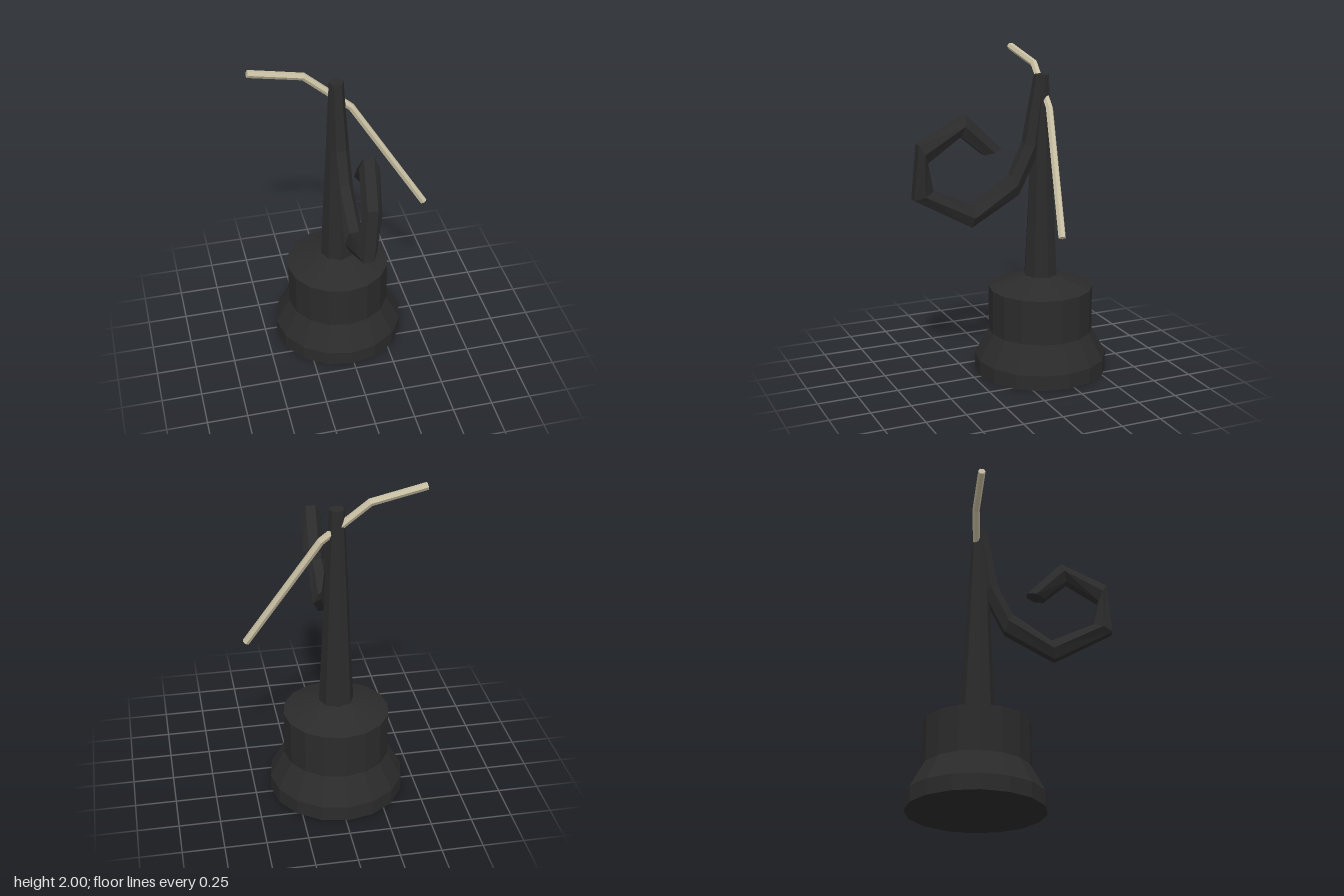
import * as THREE from 'three';

const V = (x, y, z) => new THREE.Vector3(x, y, z);
const dark = new THREE.MeshStandardMaterial({ color: 0x2b2b2b, flatShading: true });
const wood = new THREE.MeshStandardMaterial({ color: 0xc9c0a3, flatShading: true });

// Capped six-sided loft. Each ring is { c: centre, u, v }, with u x v along the path.
function loft(rings, sides = 6) {
  const pos = [], idx = [];
  rings.forEach(({ c, u, v }) => {
    for (let k = 0; k < sides; k++) {
      const a = ((k + 0.5) / sides) * Math.PI * 2;
      const p = c.clone().addScaledVector(u, Math.cos(a)).addScaledVector(v, Math.sin(a));
      pos.push(p.x, p.y, p.z);
    }
  });
  for (let i = 0; i < rings.length - 1; i++) {
    for (let k = 0; k < sides; k++) {
      const a = i * sides + k, b = i * sides + ((k + 1) % sides);
      idx.push(a, b, b + sides, a, b + sides, a + sides);
    }
  }
  const last = (rings.length - 1) * sides;
  for (let k = 1; k < sides - 1; k++) {
    idx.push(0, k + 1, k, last, last + k, last + k + 1);
  }
  const g = new THREE.BufferGeometry();
  g.setAttribute('position', new THREE.Float32BufferAttribute(pos, 3));
  g.setIndex(idx);
  const flat = g.toNonIndexed();
  flat.computeVertexNormals();
  return flat;
}

export function createModel() {
  const model = new THREE.Group();
  const add = (name, geometry, material) => {
    const mesh = new THREE.Mesh(geometry, material);
    mesh.name = name;
    model.add(mesh);
    return mesh;
  };

  // Stepped pedestal
  const profile = [[0, 0], [0.415, 0], [0.415, 0.095], [0.325, 0.26], [0.325, 0.54], [0.1, 0.62], [0, 0.62]];
  const base = new THREE.LatheGeometry(profile.map(([r, y]) => new THREE.Vector2(r, y)), 16);
  add('pedestal', base, dark).position.set(-0.013, 0, -0.21);

  // Tapered post
  const post = new THREE.CylinderGeometry(0.045, 0.107, 1.26, 8);
  add('post', post, dark).position.set(-0.013, 1.24, -0.21);

  // Curled hook: x, then the outer and inner edge of each section as (z, y)
  const hook = [
    [-0.013, -0.24, 1.86, -0.165, 1.865],
    [-0.013, -0.185, 1.42, -0.09, 1.46],
    [-0.013, -0.05, 1.15, 0, 1.27],
    [-0.013, 0.26, 0.975, 0.24, 1.1],
    [-0.02, 0.62, 1.175, 0.5, 1.22],
    [0.005, 0.595, 1.51, 0.54, 1.4],
    [0.05, 0.315, 1.675, 0.35, 1.55],
    [0.065, 0.1, 1.46, 0.21, 1.43],
  ];
  const hookRings = hook.map(([x, zo, yo, zi, yi], i) => ({
    c: V(x, (yo + yi) / 2, (zo + zi) / 2),
    u: V(0, yo - yi, zo - zi).multiplyScalar(0.5 / Math.cos(Math.PI / 6)),
    v: V(i ? 0.06 : 0.042, 0, 0),
  }));
  add('curledHook', loft(hookRings), dark);

  // Bent wooden rod through the top of the post
  const path = [V(-0.53, 1.98, -0.232), V(-0.2, 1.91, -0.245), V(0.08, 1.68, -0.218), V(0.515, 1, -0.097)];
  const rodRings = path.map((c, i) => {
    const t = V(0, 0, 0);
    if (i > 0) t.add(c.clone().sub(path[i - 1]).normalize());
    if (i < path.length - 1) t.add(path[i + 1].clone().sub(c).normalize());
    t.normalize();
    const u = V(-t.y, t.x, 0).normalize();
    const v = t.clone().cross(u);
    return { c, u: u.multiplyScalar(0.023), v: v.multiplyScalar(0.023) };
  });
  add('bentRod', loft(rodRings), wood);

  return model;
}
